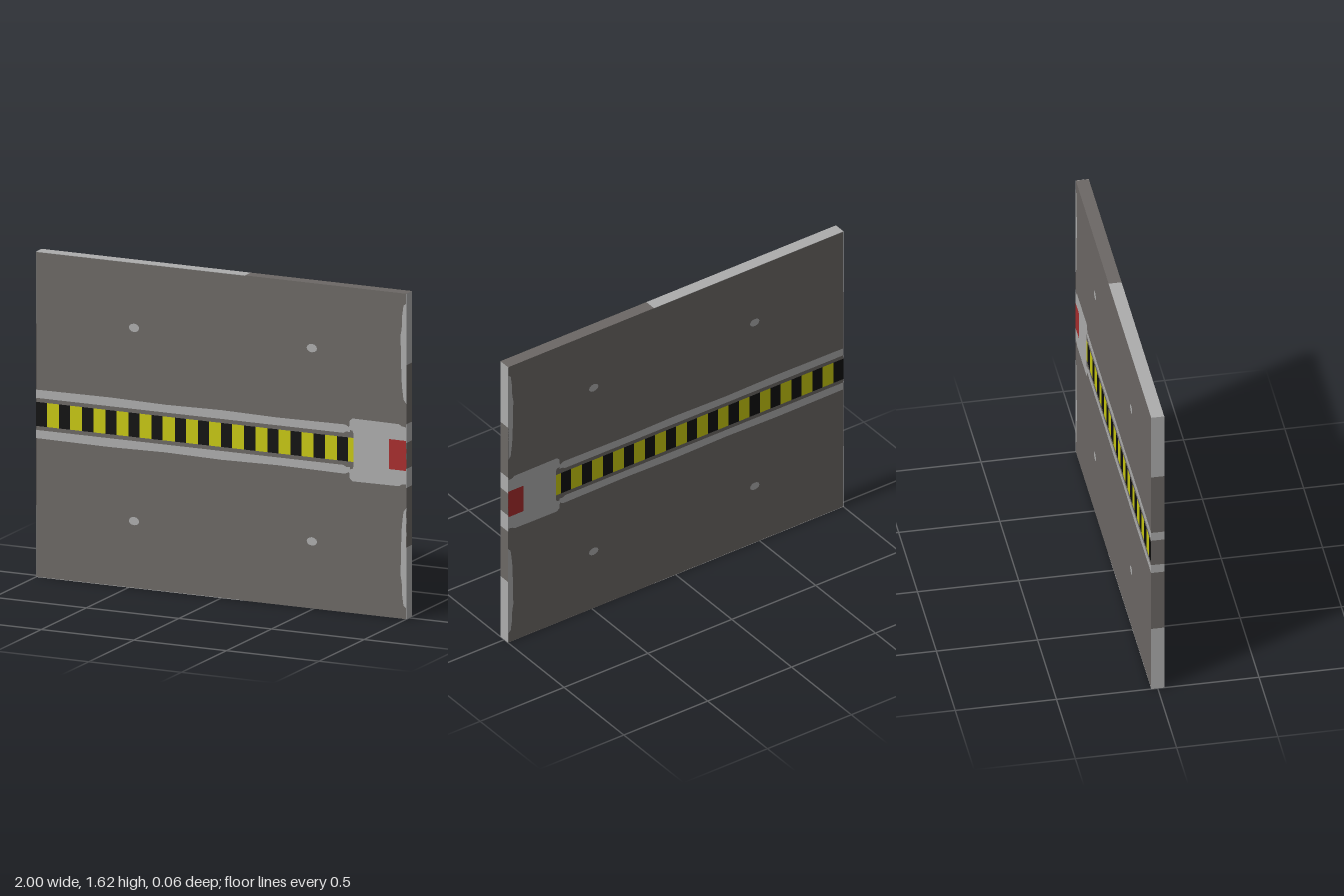
import * as THREE from 'three';

const mat = (name, color) => {
  const m = new THREE.MeshStandardMaterial({ color });
  m.name = name;
  return m;
};

export function createModel() {
  const model = new THREE.Group();
  model.name = 'blastDoorPanel';
  const dark = mat('darkMetal', 0x6c6865);
  const light = mat('lightMetal', 0xadadad);
  const yellow = mat('hazardYellow', 0xc8c80f);
  const black = mat('hazardBlack', 0x0d0d0d);
  const red = mat('lockRed', 0xa82c2c);

  const W = 2, H = 1.625, D = 0.065, skin = 0.001;
  const MID = 0.815; // centre line of the hazard strip

  const add = (name, geometry, material) => {
    const mesh = new THREE.Mesh(geometry, material);
    mesh.name = name;
    model.add(mesh);
  };

  // Slab, inset slightly so the painted faces end flush with its outer size
  const slab = new THREE.BoxGeometry(W - skin * 2, H - skin * 2, D - skin * 2);
  add('slab', slab.translate(0, H / 2, 0), dark);

  // The same flat painted outline on the front and on the back
  const paint = (name, points, material) => {
    for (const side of [1, -1]) {
      const shape = new THREE.Shape(points.map(([x, y]) => new THREE.Vector2(x * side, y)));
      const geometry = new THREE.ShapeGeometry(shape).translate(0, 0, D / 2);
      if (side < 0) geometry.rotateY(Math.PI);
      add(name + (side > 0 ? 'Front' : 'Back'), geometry, material);
    }
  };
  const rect = (x0, x1, y0, y1) => [[x0, y0], [x1, y0], [x1, y1], [x0, y1]];

  // Hazard strip: alternating blocks up to the lock housing
  const stripEnd = 0.715, pitch = 0.125, blackWidth = 0.06;
  for (let x = -1; x < stripEnd; x += pitch) {
    const split = Math.min(x + blackWidth, stripEnd);
    const end = Math.min(x + pitch, stripEnd);
    paint('blackStripe', rect(x, split, 0.755, 0.875), black);
    if (end > split) paint('yellowStripe', rect(split, end, 0.755, 0.875), yellow);
  }

  // Worn rails above and below the strip, and worn streaks at the locking edge
  for (const s of [1, -1]) {
    const rail = [
      [-1, 0.08], [0.66, 0.08], [0.675, 0.088], [0.695, 0.088], [0.695, 0.11],
      [0.67, 0.123], [0.3, 0.119], [0, 0.124], [-0.3, 0.119], [-0.6, 0.124], [-1, 0.121],
    ];
    paint(s > 0 ? 'upperRail' : 'lowerRail', rail.map(([x, y]) => [x, MID + s * y]), light);

    const streak = [
      [1, 0.26], [0.985, 0.28], [0.976, 0.35], [0.972, 0.45], [0.969, 0.6],
      [0.975, 0.63], [0.978, 0.7], [0.985, 0.75], [1, 0.76],
    ];
    paint(s > 0 ? 'upperStreak' : 'lowerStreak', streak.map(([x, y]) => [x, MID + s * y]), light);
  }

  // Lock housing with a notch for the red lock
  const half = [
    [1, 0.075], [1, 0.142], [0.975, 0.146], [0.96, 0.155], [0.71, 0.157],
    [0.695, 0.145], [0.69, 0.1], [0.71, 0.095], [0.716, 0.08],
  ];
  const housing = [
    ...half.map(([x, y]) => [x, MID + y]),
    ...half.map(([x, y]) => [x, MID - y]).reverse(),
    [0.907, MID - 0.075], [0.907, MID + 0.075],
  ];
  paint('lockHousing', housing, light);
  paint('lock', rect(0.907, 1, MID - 0.075, MID + 0.075), red);

  // Four bolt heads
  for (const x of [-0.47, 0.49]) {
    for (const y of [0.335, 1.3]) {
      const oval = [];
      for (let i = 0; i < 12; i++) {
        const a = (i / 12) * Math.PI * 2;
        oval.push([x + 0.028 * Math.cos(a), y + 0.021 * Math.sin(a)]);
      }
      paint('bolt', oval, light);
    }
  }

  // Rim: alternating light and dark lengths on all four edges
  const sideRim = (x, cuts) => cuts.slice(1).forEach((y1, i) => {
    const y0 = cuts[i];
    const g = new THREE.BoxGeometry(skin * 2, y1 - y0, D);
    add(x > 0 ? 'leftRim' : 'rightRim', g.translate(x * (W / 2 - skin), (y0 + y1) / 2, 0), i % 2 ? dark : light);
  });
  sideRim(1, [0, 0.358, 0.655, 0.75, 0.88, 0.973, 1.268, H]);
  sideRim(-1, [0, 0.36, 0.695, 0.742, 0.888, 0.935, 1.267, H]);

  const seam = 0.13;
  for (const y of [skin, H - skin]) {
    for (const [x0, x1, material] of [[-1, seam, light], [seam, 1, dark]]) {
      const g = new THREE.BoxGeometry(x1 - x0, skin * 2, D - skin);
      add(y > 1 ? 'topRim' : 'bottomRim', g.translate((x0 + x1) / 2, y, 0), material);
    }
  }
  return model;
}
